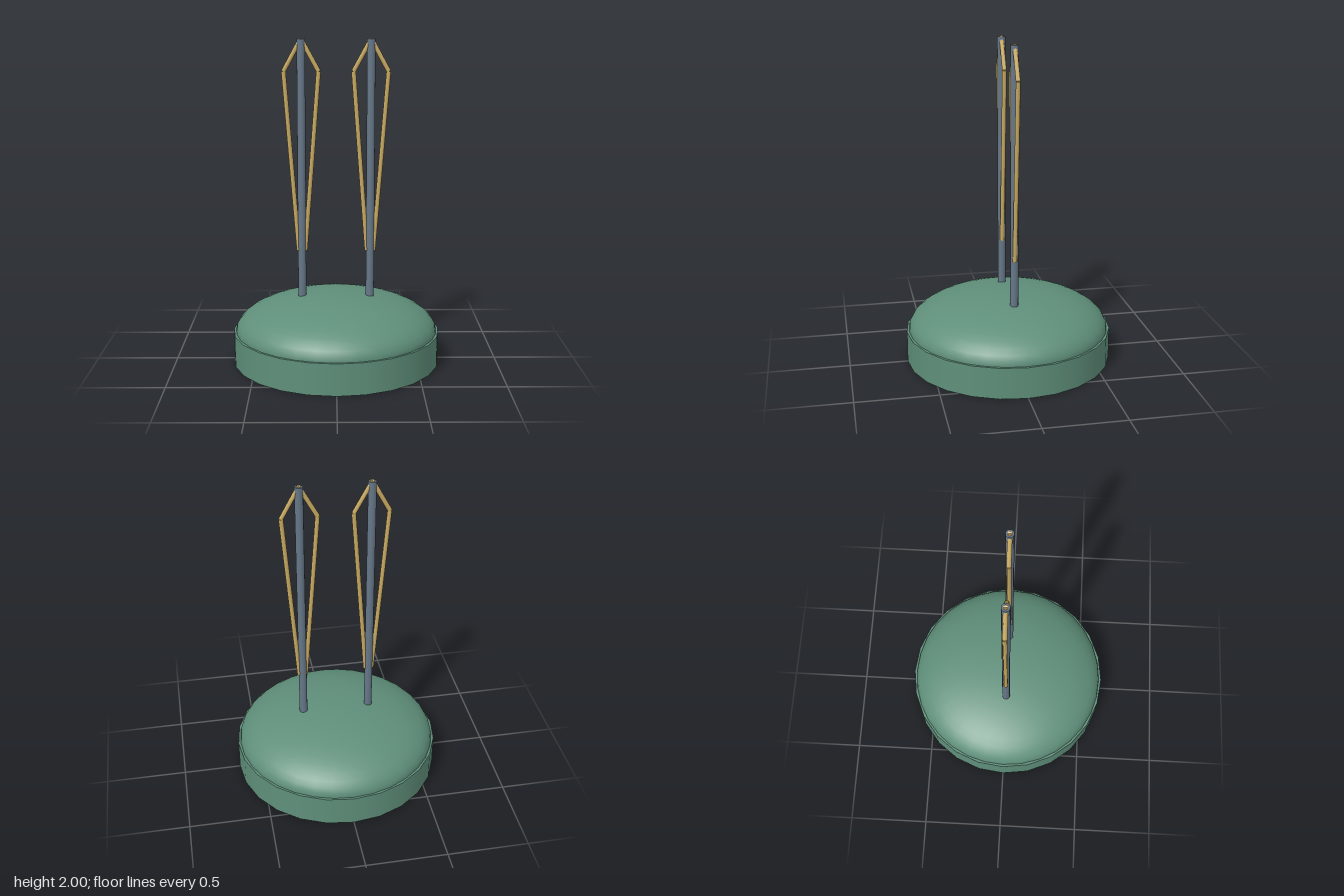
import * as THREE from 'three';

const green = new THREE.MeshStandardMaterial({ name: 'green', color: 0x5f8f7a });
const steel = new THREE.MeshStandardMaterial({ name: 'steel', color: 0x667788 });
const brass = new THREE.MeshStandardMaterial({ name: 'brass', color: 0xc8aa62 });

function add(parent, name, geometry, material) {
  const mesh = new THREE.Mesh(geometry, material);
  mesh.name = name;
  parent.add(mesh);
  return mesh;
}

// Straight round rod between two points
function rod(parent, name, from, to, radius, sides, material) {
  const a = new THREE.Vector3(...from);
  const b = new THREE.Vector3(...to);
  const dir = b.clone().sub(a);
  const mesh = add(parent, name, new THREE.CylinderGeometry(radius, radius, dir.length(), sides), material);
  mesh.position.copy(a).add(b).multiplyScalar(0.5);
  mesh.quaternion.setFromUnitVectors(new THREE.Vector3(0, 1, 0), dir.normalize());
  return mesh;
}

export function createModel() {
  const model = new THREE.Group();
  model.name = 'twinMastStand';

  // Drum base
  const base = add(model, 'base', new THREE.CylinderGeometry(0.64, 0.64, 0.195, 24), green);
  base.position.y = 0.0975;

  // Shallow dome on the base
  const dome = add(model, 'dome',
    new THREE.SphereGeometry(0.625, 32, 12, 0, Math.PI * 2, 0, Math.PI / 2), green);
  dome.scale.y = 0.23 / 0.625;
  dome.position.y = 0.195;

  // Two masts, each with a pair of bent brass braces
  for (const side of [-1, 1]) {
    const mast = new THREE.Group();
    mast.name = side > 0 ? 'leftMast' : 'rightMast';
    mast.position.x = side * 0.21;
    rod(mast, 'pole', [0, 0.36, 0], [0, 1.993, 0], 0.025, 12, steel);
    for (const s of [-1, 1]) {
      rod(mast, 'lowerBrace', [s * 0.02, 0.7, 0], [s * 0.105, 1.8, 0], 0.014, 8, brass);
      rod(mast, 'upperBrace', [s * 0.105, 1.8, 0], [0, 1.993, 0], 0.014, 8, brass);
    }
    model.add(mast);
  }
  return model;
}
